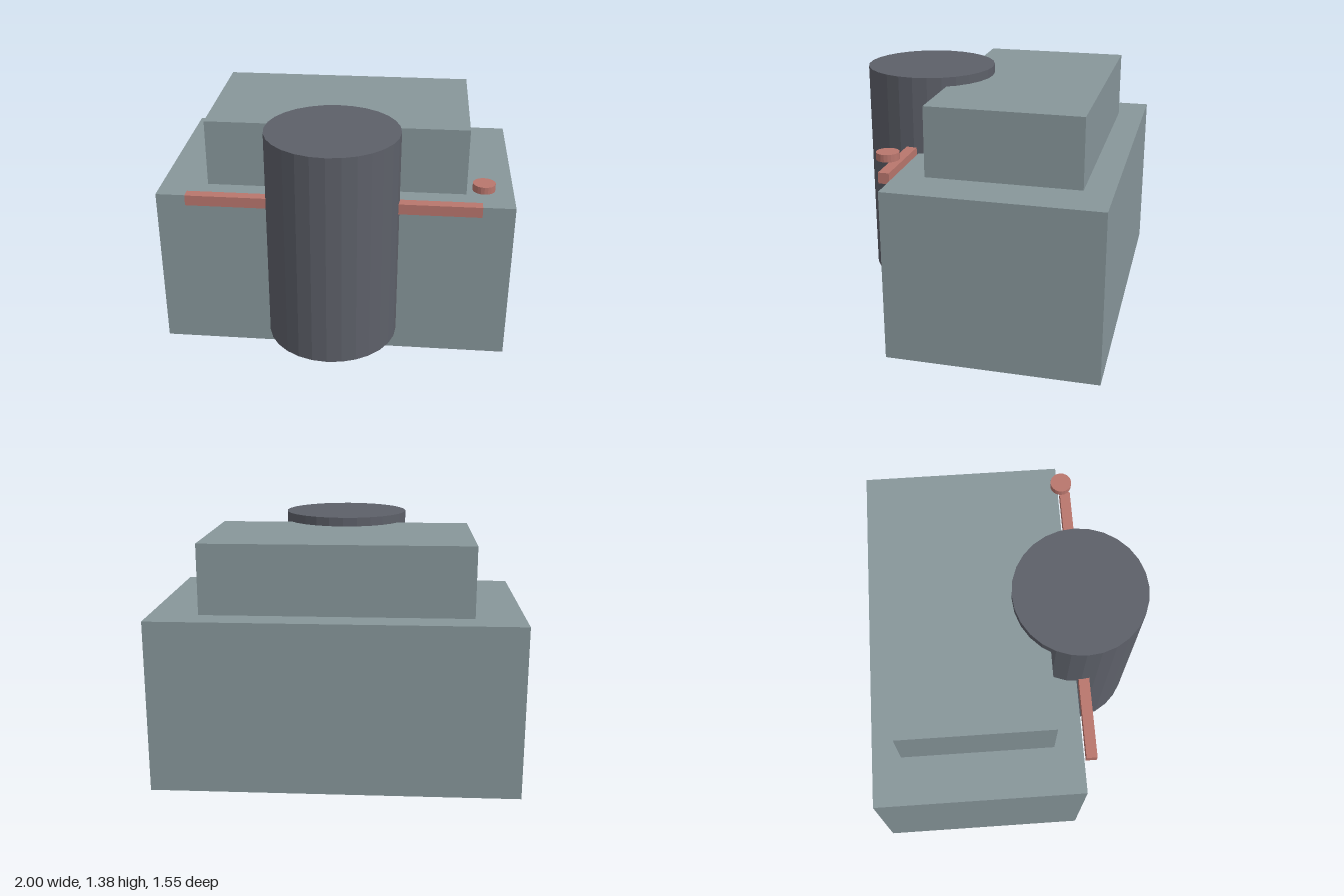
import * as THREE from 'three';

export function createModel() {
  const model = new THREE.Group();

  const material = (name, color) => {
    const m = new THREE.MeshStandardMaterial({ color, flatShading: true });
    m.name = name;
    return m;
  };
  const bodyGrey = material('body grey', 0x87969a);
  const darkGrey = material('dark grey', 0x5d6069);
  const dustyRed = material('dusty red', 0xb9766d);

  const add = (name, geometry, mat, x, y, z) => {
    const mesh = new THREE.Mesh(geometry, mat);
    mesh.name = name;
    mesh.position.set(x, y, z);
    model.add(mesh);
  };

  // Stepped housing
  add('body', new THREE.BoxGeometry(2, 0.946, 1.155), bodyGrey, 0, 0.473, -0.197);
  add('upperBlock', new THREE.BoxGeometry(1.47, 0.384, 0.84), bodyGrey, 0, 1.138, -0.197);

  // Upright drum, partly sunk into the front
  add('drum', new THREE.CylinderGeometry(0.367, 0.367, 1.232, 28), darkGrey, 0, 0.765, 0.405);

  // Crossbar arms on both sides of the drum
  for (const side of [-1, 1]) {
    add(side > 0 ? 'leftArm' : 'rightArm',
      new THREE.BoxGeometry(0.455, 0.06, 0.06), dustyRed, side * 0.588, 0.95, 0.42);
  }

  // Small disc above the left arm
  add('knob', new THREE.CylinderGeometry(0.061, 0.061, 0.04, 20), dustyRed, 0.815, 1.08, 0.39);

  return model;
}
